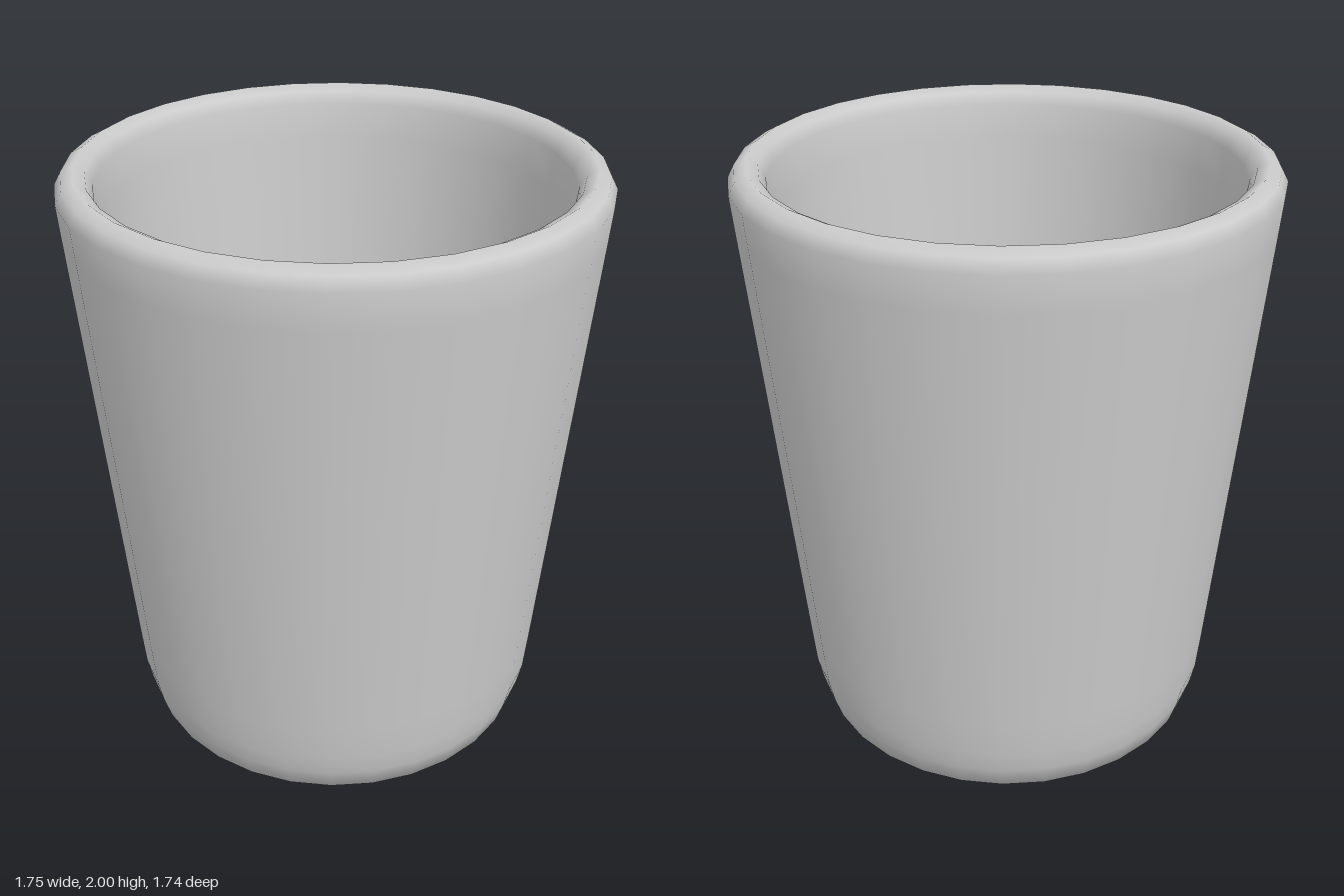
import * as THREE from 'three';

const SIDES = 30;

// One smooth surface of revolution; points are [radius, height], turned half a side
function ring(name, points) {
  const profile = points.map(([r, y]) => new THREE.Vector2(r, y));
  const mesh = new THREE.Mesh(
    new THREE.LatheGeometry(profile, SIDES, Math.PI / SIDES),
    new THREE.MeshStandardMaterial({ color: 0xcccccc, side: THREE.DoubleSide })
  );
  mesh.name = name;
  return mesh;
}

export function createModel() {
  const group = new THREE.Group();
  group.name = 'cup';

  // Closed wall: underside, bevelled foot, tapering side, rounded rim, inside and floor
  group.add(ring('cupBody', [
    [0, 0], [0.62, 0], [0.68, 0],
    [0.705, 0.08], [0.722, 0.16], [0.735, 0.3],
    [0.865, 1.82], [0.875, 1.94],
    [0.853, 1.98], [0.815, 2], [0.778, 1.98], [0.757, 1.94],
    [0.745, 1.82], [0.625, 0.36], [0.61, 0.22], [0.58, 0.15], [0.52, 0.13], [0, 0.13],
  ]));

  return group;
}
